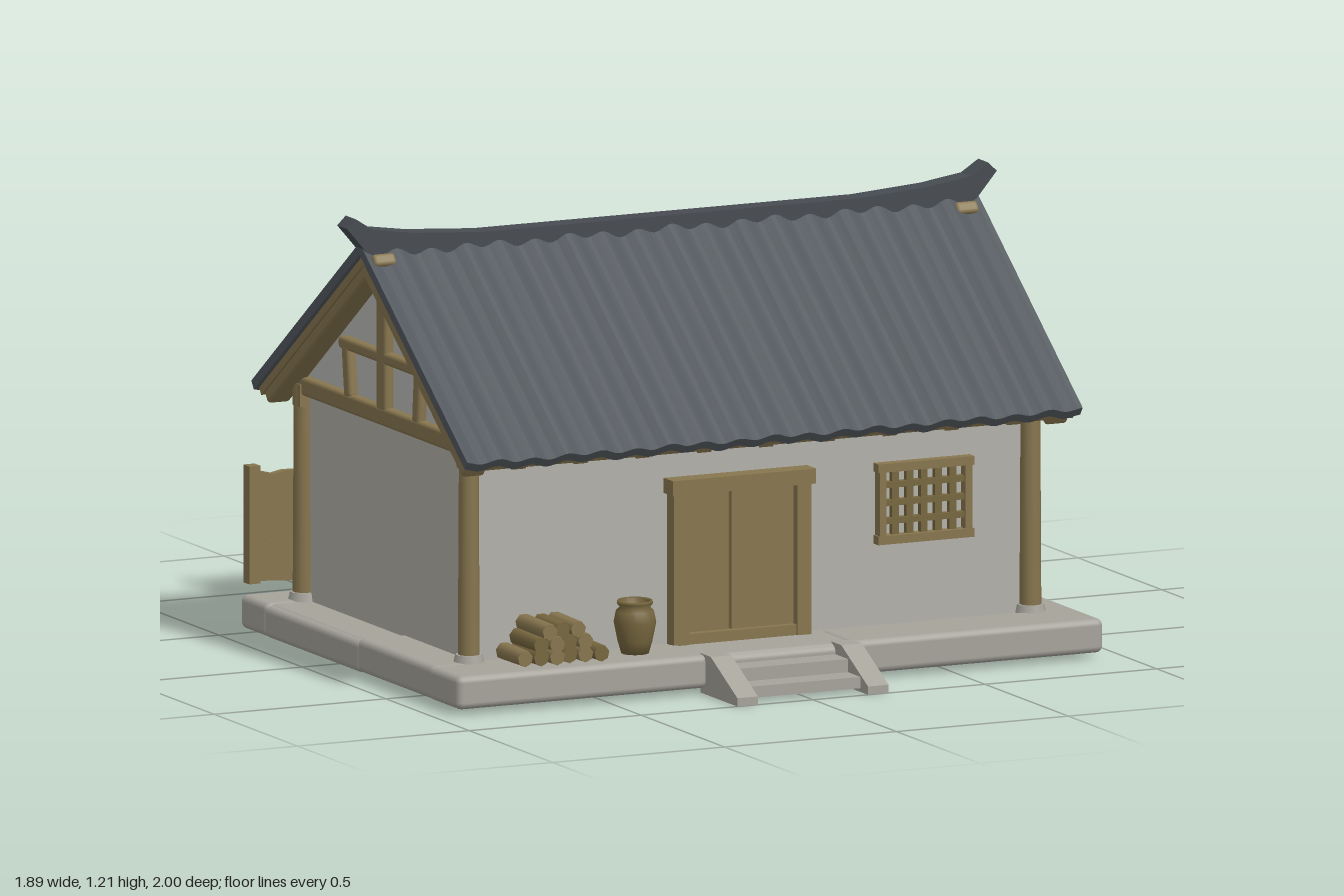
import * as THREE from 'three';
import { RoundedBoxGeometry } from 'three/addons/geometries/RoundedBoxGeometry.js';

const mat = (name, color, extra = {}) => new THREE.MeshStandardMaterial({ name, color, ...extra });

export function createModel() {
  const M = {
    plaster: mat('plaster', 0xb3b0a9),
    gable: mat('gable plaster', 0xbdbcba),
    stone: mat('stone', 0xa6a39b),
    wood: mat('wood', 0x87764f),
    dark: mat('dark wood', 0x77673f),
    tile: mat('roof tile', 0x53585e),
    ridge: mat('ridge tile', 0x474c52),
  };
  const house = new THREE.Group();
  house.name = 'house';

  const add = (name, geo, m, parent = house) => {
    const mesh = new THREE.Mesh(geo, m);
    mesh.name = name;
    parent.add(mesh);
    return mesh;
  };
  // box given by its min and max on each axis
  const span = (name, m, [x0, x1], [y0, y1], [z0, z1], parent = house, r = 0) => {
    const s = [x1 - x0, y1 - y0, z1 - z0];
    const mesh = add(name, r ? new RoundedBoxGeometry(...s, 2, r) : new THREE.BoxGeometry(...s), m, parent);
    mesh.position.set((x0 + x1) / 2, (y0 + y1) / 2, (z0 + z1) / 2);
    return mesh;
  };
  const extrude = (pts, depth) => new THREE.ExtrudeGeometry(
    new THREE.Shape(pts.map(p => new THREE.Vector2(...p))), { depth, bevelEnabled: false });
  // outline of [z, y] points swept along x, centred
  const prismX = (pts, width) => extrude(pts, width).rotateY(-Math.PI / 2).translate(width / 2, 0, 0);
  const around = (z) => [z - 0.028, z + 0.028];

  // Stone platform with slightly uneven edge slabs
  span('platform', M.stone, [-0.93, 0.93], [0.015, 0.102], [-0.49, 0.8], house, 0.02);
  const edges = [
    [[-0.94, -0.21], [0.62, 0.81], 0.104], [[-0.23, 0.22], [0.62, 0.805], 0.098], [[0.2, 0.94], [0.62, 0.81], 0.106],
    [[-0.94, -0.3], [-0.5, -0.34], 0.105], [[-0.31, 0.35], [-0.495, -0.34], 0.1], [[0.34, 0.94], [-0.5, -0.34], 0.105],
  ];
  for (const [x, z, top] of edges) span('edgeSlab', M.stone, x, [0.015, top], z, house, 0.018);
  for (const s of [-1, 1]) {
    const x = s > 0 ? [0.78, 0.94] : [-0.94, -0.78];
    span('edgeSlab', M.stone, x, [0.014, 0.099], [-0.36, 0.22], house, 0.018);
    span('edgeSlab', M.stone, x, [0.016, 0.106], [0.2, 0.66], house, 0.018);
  }

  // Entrance steps between sloping cheek stones
  span('lowerStep', M.stone, [-0.16, 0.16], [0.01, 0.04], [0.79, 0.955]);
  span('upperStep', M.stone, [-0.16, 0.16], [0.01, 0.075], [0.79, 0.88]);
  for (const s of [-1, 1]) {
    add('stepCheek', prismX([[0.78, 0], [1, 0], [1, 0.022], [0.84, 0.105], [0.78, 0.105]], 0.06), M.stone)
      .position.x = s * 0.19;
  }

  // Walls and gables
  span('walls', M.plaster, [-0.81, 0.81], [0.09, 0.66], [-0.36, 0.61]);
  add('gables', prismX([[0.61, 0.66], [0.61, 0.7], [0.125, 1.06], [-0.36, 0.7], [-0.36, 0.66]].reverse(), 1.62), M.gable);

  // Corner posts, beams and gable framing
  const slope = Math.atan2(0.475, 0.645), run = 0.8;
  for (const s of [-1, 1]) {
    for (const z of [0.62, -0.37]) {
      add('cornerPost', new THREE.CylinderGeometry(0.026, 0.029, 0.58, 10), M.wood).position.set(s * 0.817, 0.39, z);
      add('postBase', new THREE.CylinderGeometry(0.036, 0.042, 0.025, 10), M.stone).position.set(s * 0.817, 0.112, z);
    }
    const x = s > 0 ? [0.79, 0.835] : [-0.835, -0.79];
    span('tieBeam', M.wood, x, [0.65, 0.7], [-0.4, 0.65], house, 0.01);
    span('gableRail', M.wood, x, [0.815, 0.848], [-0.13, 0.38], house, 0.01);
    span('kingPost', M.wood, x, [0.69, 1.08], around(0.125), house, 0.01);
    for (const [z, tilt] of [[0.335, 0.08], [-0.085, -0.12]]) {
      span('gableStud', M.wood, x, [0.69, 0.83], [z - 0.02, z + 0.02], house, 0.01).rotation.x = tilt;
    }
  }
  span('frontBeam', M.wood, [-0.84, 0.84], [0.62, 0.68], [0.595, 0.64]);
  span('backBeam', M.wood, [-0.84, 0.84], [0.62, 0.68], [-0.39, -0.345]);

  // Roof: two pitches of rippled tiles on a boarded deck with end rafters
  const ripple = (x) => 0.007 * Math.cos(x * Math.PI * 2 / 0.1) + 0.003 * Math.cos(x * 23);
  const tiles = [], N = 144, W = 0.895;
  for (let i = 0; i <= N; i++) tiles.push([W - 2 * W * i / N, 0]);
  const outline = [
    ...tiles.map(([x]) => [x, ripple(x)]),
    ...tiles.map(([x]) => [x, ripple(x) - 0.026]).reverse(),
  ];
  for (const s of [1, -1]) {
    const side = new THREE.Group();
    side.name = s > 0 ? 'frontRoof' : 'backRoof';
    side.position.set(0, 1.135, 0.125);
    side.rotation.y = s > 0 ? 0 : Math.PI;
    house.add(side);
    const pitch = new THREE.Group();
    pitch.rotation.x = slope;
    side.add(pitch);
    add('roofTiles', extrude(outline, run), M.tile, pitch);
    span('roofDeck', M.wood, [-0.885, 0.885], [-0.043, -0.016], [0, run - 0.012], pitch);
    for (const e of [-1, 1]) {
      span('endRafter', M.wood, e > 0 ? [0.815, 0.88] : [-0.88, -0.815], [-0.075, -0.04], [-0.03, run - 0.02], pitch, 0.01);
    }
    for (let i = -4; i <= 4; i++) {
      span('rafterEnd', M.wood, [i * 0.18 - 0.02, i * 0.18 + 0.02], [-0.058, -0.04], [0.5, run - 0.02], pitch);
    }
  }

  // Ridge with upswept ends
  const half = [[0.55, 1.148], [0.75, 1.162], [0.87, 1.18], [0.92, 1.212], [0.945, 1.188], [0.9, 1.135], [0.87, 1.1]];
  add('ridge', extrude([...half, ...half.map(([x, y]) => [-x, y]).reverse()].reverse(), 0.06), M.ridge)
    .position.z = 0.095;

  // Door and window, repeated on both long walls
  for (const [wall, s] of [[0.61, 1], [-0.36, -1]]) {
    const group = new THREE.Group();
    group.name = s > 0 ? 'frontOpenings' : 'backOpenings';
    house.add(group);
    const b = (name, m, x, y, out) =>
      span(name, m, x, y, s > 0 ? [wall - 0.01, wall + out] : [wall - out, wall + 0.01], group);
    b('doorLeaf', M.wood, [-0.195, -0.062], [0.12, 0.51], 0.012);
    b('doorLeaf', M.wood, [-0.056, 0.13], [0.12, 0.51], 0.016);
    b('doorGap', M.dark, [-0.063, -0.055], [0.12, 0.51], 0.006);
    b('doorPost', M.wood, [-0.235, -0.19], [0.1, 0.51], 0.04);
    b('doorPost', M.wood, [0.125, 0.165], [0.1, 0.51], 0.04);
    b('doorLintel', M.wood, [-0.245, 0.172], [0.505, 0.545], 0.055);
    b('doorSill', M.wood, [-0.2, 0.14], [0.1, 0.13], 0.035);
    for (const y of [[0.32, 0.343], [0.512, 0.535]]) b('windowRail', M.wood, [0.365, 0.645], y, 0.03);
    for (const x of [[0.37, 0.39], [0.62, 0.64]]) b('windowStile', M.wood, x, [0.32, 0.535], 0.028);
    for (let i = 1; i < 6; i++) {
      const x = 0.38 + i * 0.0417;
      b('windowBar', M.dark, [x - 0.01, x + 0.01], [0.335, 0.52], 0.016);
    }
    for (let i = 1; i < 4; i++) {
      const y = 0.332 + i * 0.048;
      b('windowLattice', M.dark, [0.38, 0.63], [y - 0.008, y + 0.008], 0.02);
    }
  }

  // Clay jar
  const jar = [[0, 0], [0.036, 0], [0.046, 0.035], [0.056, 0.085], [0.05, 0.115], [0.04, 0.125],
    [0.048, 0.135], [0.046, 0.143], [0.036, 0.14], [0.034, 0.11], [0, 0.1]];
  add('jar', new THREE.LatheGeometry(jar.map(p => new THREE.Vector2(...p)), 18), M.dark).position.set(-0.37, 0.102, 0.695);

  // Stacked firewood
  [6, 4, 3].forEach((count, row) => {
    for (let i = 0; i < count; i++) {
      const log = add('firewood', new THREE.CylinderGeometry(0.022, 0.024, 0.13 + 0.015 * ((i + row) % 3), 7),
        (i + row) % 2 ? M.dark : M.wood);
      log.rotation.x = Math.PI / 2;
      log.position.set(-0.61 + (i - (count - 1) / 2) * 0.043, 0.126 + row * 0.034, 0.69);
    }
  });

  // Plank fence with a ragged top edge
  const fence = (name, [ax, az], [bx, bz]) => {
    const g = new THREE.Group(), len = Math.hypot(bx - ax, bz - az);
    g.name = name;
    g.position.set(ax, 0, az);
    g.rotation.y = Math.atan2(-(bz - az), bx - ax);
    house.add(g);
    const plank = (y0, y1, rough, thick, m) => {
      const n = Math.round(len / 0.035), top = [], low = [];
      for (let i = 0; i <= n; i++) {
        const x = len * i / n;
        top.push([x, y1 + rough * (Math.sin(i * 2.1) + Math.sin(i * 0.7))]);
        low.push([x, y0 + 0.003 * Math.sin(i * 1.3)]);
      }
      add('fencePlank', extrude([...low, ...top.reverse()], thick), m, g).position.z = -thick / 2;
    };
    plank(0.04, 0.15, 0.001, 0.022, M.wood);
    plank(0.145, 0.25, 0.001, 0.018, M.wood);
    plank(0.245, 0.333, 0.005, 0.022, M.wood);
    for (const x of [0.012, len - 0.012]) span('fencePost', M.wood, [x - 0.016, x + 0.016], [0.038, 0.352], [-0.017, 0.017], g);
  };
  fence('sideFence', [0.83, -0.45], [0.905, -0.985]);
  fence('backFence', [0.915, -0.982], [-0.7, -0.945]);

  return house;
}
